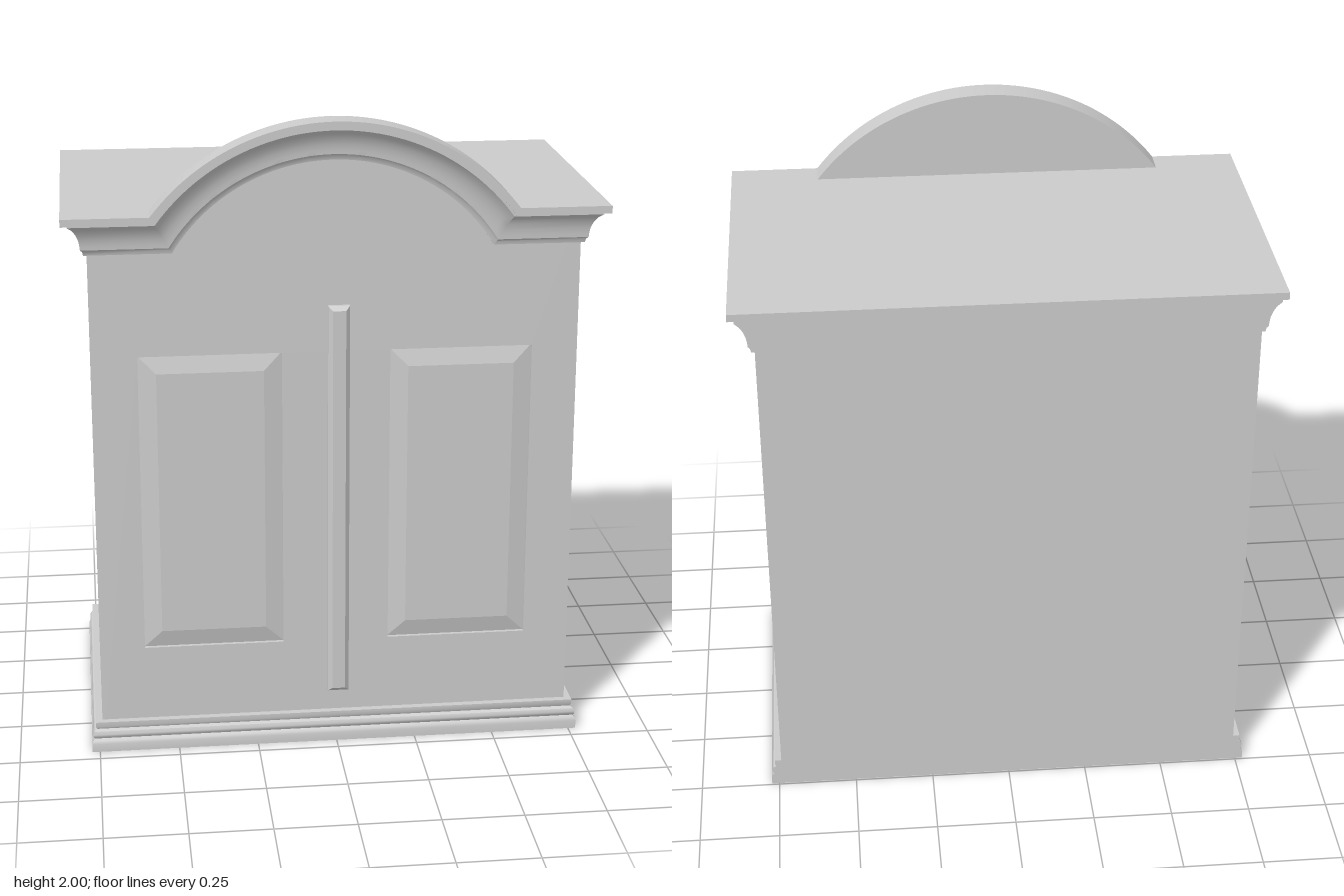
import * as THREE from 'three';
import { toCreasedNormals } from 'three/addons/utils/BufferGeometryUtils.js';

const HALF = 0.74, BACK = -0.495, FRONT = 0.42, TOP = 1.73, SKIN = 0.012;
// Arch of the pediment: centre and radius of the lower edge of the cornice
const ARCH = { x: -0.008, y: 1.31, r: 0.565 };
const CROWN_Y = 1.605;

// Profiles: [distance out from the carcass, height above the moulding's foot]
const crownProfile = [[0, 0], [0.01, 0], [0.013, 0.012], [0.019, 0.018], [0.02, 0.03],
  [0.023, 0.048], [0.03, 0.066], [0.04, 0.082], [0.055, 0.095], [0.055, 0.102],
  [0.075, 0.102], [0.075, 0.125], [0, 0.125]];
const baseProfile = [[0, 0], [0.034, 0], [0.034, 0.026], [0.031, 0.036], [0.024, 0.042],
  [0.029, 0.048], [0.03, 0.056], [0.026, 0.066], [0.017, 0.072], [0.021, 0.08],
  [0.021, 0.095], [0, 0.095]];

const material = new THREE.MeshStandardMaterial({ color: 0xcccccc });

function add(group, name, geometry) {
  const mesh = new THREE.Mesh(geometry, material);
  mesh.name = name;
  group.add(mesh);
  return mesh;
}

// Mitred moulding round both sides and the front, optionally rising over the arch
function moulding(profile, y0, arched) {
  const stations = [
    (d, h) => [-HALF - d, y0 + h, BACK],
    (d, h) => [-HALF - d, y0 + h, FRONT + d],
  ];
  const steps = 48;
  for (let i = 0; arched && i <= steps; i++) {
    stations.push((d, h) => {
      const r = ARCH.r + h;
      const start = Math.asin((y0 + h - ARCH.y) / r);
      const a = Math.PI - start - (Math.PI - 2 * start) * (i / steps);
      return [ARCH.x + r * Math.cos(a), ARCH.y + r * Math.sin(a), FRONT + d];
    });
  }
  stations.push(
    (d, h) => [HALF + d, y0 + h, FRONT + d],
    (d, h) => [HALF + d, y0 + h, BACK],
  );

  const n = profile.length;
  const positions = [], index = [];
  stations.forEach((at) => profile.forEach(([d, h]) => positions.push(...at(d, h))));
  for (let i = 0; i < stations.length - 1; i++) {
    for (let j = 0; j < n; j++) {
      const k = (j + 1) % n;
      const a = i * n + j, b = (i + 1) * n + j, c = (i + 1) * n + k, e = i * n + k;
      index.push(a, b, c, a, c, e);
    }
  }
  // Flat ends at the back
  const last = (stations.length - 1) * n;
  const outline = profile.map(([d, h]) => new THREE.Vector2(d, h));
  for (const [a, b, c] of THREE.ShapeUtils.triangulateShape(outline, [])) {
    index.push(a, b, c, last + a, last + c, last + b);
  }
  const geometry = new THREE.BufferGeometry();
  geometry.setAttribute('position', new THREE.Float32BufferAttribute(positions, 3));
  geometry.setIndex(index);
  return toCreasedNormals(geometry, 0.6);
}

// Box whose front face is drawn in to make a bevel
function bevelled(x0, x1, y0, y1, z0, z1, inset) {
  const w = x1 - x0, h = y1 - y0;
  const geometry = new THREE.BoxGeometry(w, h, z1 - z0);
  const p = geometry.attributes.position;
  for (let i = 0; i < p.count; i++) {
    if (p.getZ(i) > 0) {
      p.setX(i, Math.sign(p.getX(i)) * (w / 2 - inset));
      p.setY(i, Math.sign(p.getY(i)) * (h / 2 - inset));
    }
  }
  geometry.translate((x0 + x1) / 2, (y0 + y1) / 2, (z0 + z1) / 2);
  const flat = geometry.toNonIndexed();
  flat.computeVertexNormals();
  return flat;
}

export function createModel() {
  const group = new THREE.Group();
  group.name = 'cabinet';

  // Carcass behind the front
  const depth = FRONT - SKIN - BACK;
  add(group, 'carcass', new THREE.BoxGeometry(2 * HALF, TOP, depth))
    .position.set(0, TOP / 2, BACK + depth / 2);

  // Front board with the arched pediment and two panel openings
  const r = ARCH.r + 0.125;
  const spring = Math.asin((TOP - ARCH.y) / r);
  const board = new THREE.Shape();
  board.moveTo(-HALF, 0);
  board.lineTo(HALF, 0);
  board.lineTo(HALF, TOP);
  board.absarc(ARCH.x, ARCH.y, r, spring, Math.PI - spring, false);
  board.lineTo(-HALF, TOP);
  board.closePath();

  const panels = [[-0.6, -0.165], [0.165, 0.6]];
  const low = 0.335, high = 1.285;
  for (const [x0, x1] of panels) {
    const hole = new THREE.Path();
    hole.moveTo(x0, low);
    hole.lineTo(x0, high);
    hole.lineTo(x1, high);
    hole.lineTo(x1, low);
    hole.closePath();
    board.holes.push(hole);
  }
  const front = new THREE.ExtrudeGeometry(board, { depth: SKIN, bevelEnabled: false, curveSegments: 48 });
  front.translate(0, 0, FRONT - SKIN);
  add(group, 'frontBoard', toCreasedNormals(front, 0.6));

  // Fielded door panels
  panels.forEach(([x0, x1], i) => {
    add(group, i ? 'leftDoorPanel' : 'rightDoorPanel',
      bevelled(x0, x1, low, high, FRONT - SKIN, FRONT + 0.002, 0.055));
  });

  // Strip covering the joint of the doors
  add(group, 'centreStrip', new THREE.BoxGeometry(0.066, 1.265, 0.012))
    .position.set(0.007, 0.797, FRONT + 0.006);
  add(group, 'centreStripBevel', bevelled(-0.026, 0.04, 0.1645, 1.4295, FRONT + 0.012, FRONT + 0.025, 0.013));

  // Mouldings
  add(group, 'crownMoulding', moulding(crownProfile, CROWN_Y, true));
  add(group, 'baseMoulding', moulding(baseProfile, 0, false));

  return group;
}
